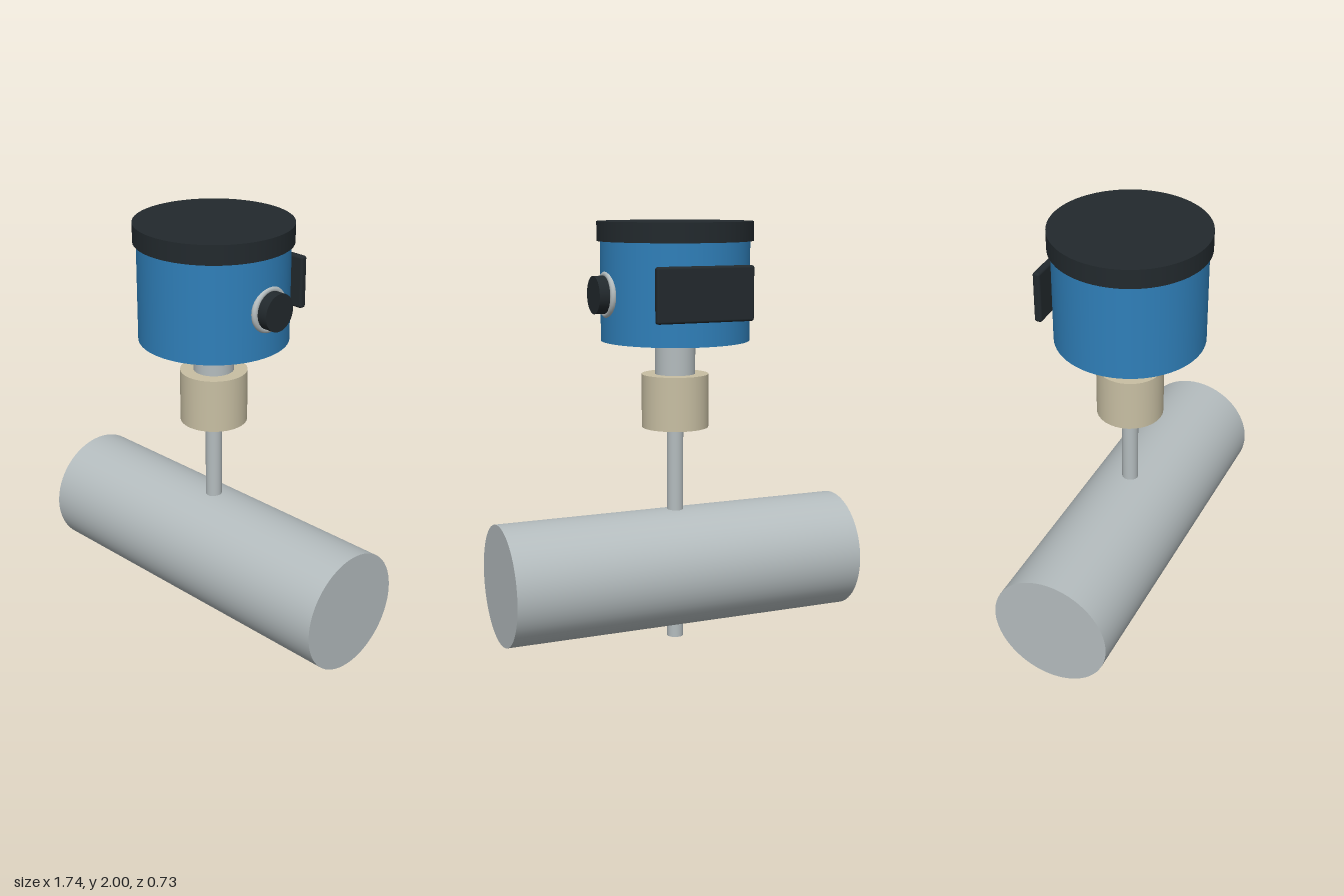
import * as THREE from 'three';
import { RoundedBoxGeometry } from 'three/addons/geometries/RoundedBoxGeometry.js';

const CX = -0.003, CZ = 0.01; // shared vertical axis

export function createModel() {
  const group = new THREE.Group();
  const mat = (color) => new THREE.MeshStandardMaterial({ color });
  const steel = mat(0xb4bcbe), blue = mat(0x2f7fb9), black = mat(0x22292d), beige = mat(0xc8bfa3);

  const add = (name, geometry, material, x, y, z) => {
    const mesh = new THREE.Mesh(geometry, material);
    mesh.name = name;
    mesh.position.set(x, y, z);
    group.add(mesh);
    return mesh;
  };
  // Upright cylinder between two heights
  const column = (name, r, y0, y1, material, sides = 64) =>
    add(name, new THREE.CylinderGeometry(r, r, y1 - y0, sides), material, CX, (y0 + y1) / 2, CZ);

  // Horizontal pipe
  add('pipe', new THREE.CylinderGeometry(0.284, 0.284, 1.742, 64), steel, 0, 0.352, CZ).rotation.z = Math.PI / 2;

  // Probe, fitting and neck
  column('probe', 0.039, 0, 1.1, steel, 32);
  column('fitting', 0.158, 1.037, 1.29, beige, 32);
  column('neck', 0.095, 1.25, 1.47, steel, 32);

  // Housing and lid
  column('housing', 0.348, 1.45, 1.92, blue);
  column('lid', 0.364, 1.91, 2, black);

  // Cable port on the left side
  add('portRing', new THREE.TorusGeometry(0.092, 0.015, 12, 32), steel, 0.338, 1.67, CZ).rotation.y = Math.PI / 2;
  add('portPlug', new THREE.CylinderGeometry(0.087, 0.087, 0.09, 32), black, 0.356, 1.67, CZ).rotation.z = Math.PI / 2;

  // Display plate on the back
  add('displayPlate', new RoundedBoxGeometry(0.472, 0.25, 0.036, 4, 0.012), black, 0, 1.685, -0.336);

  return group;
}
